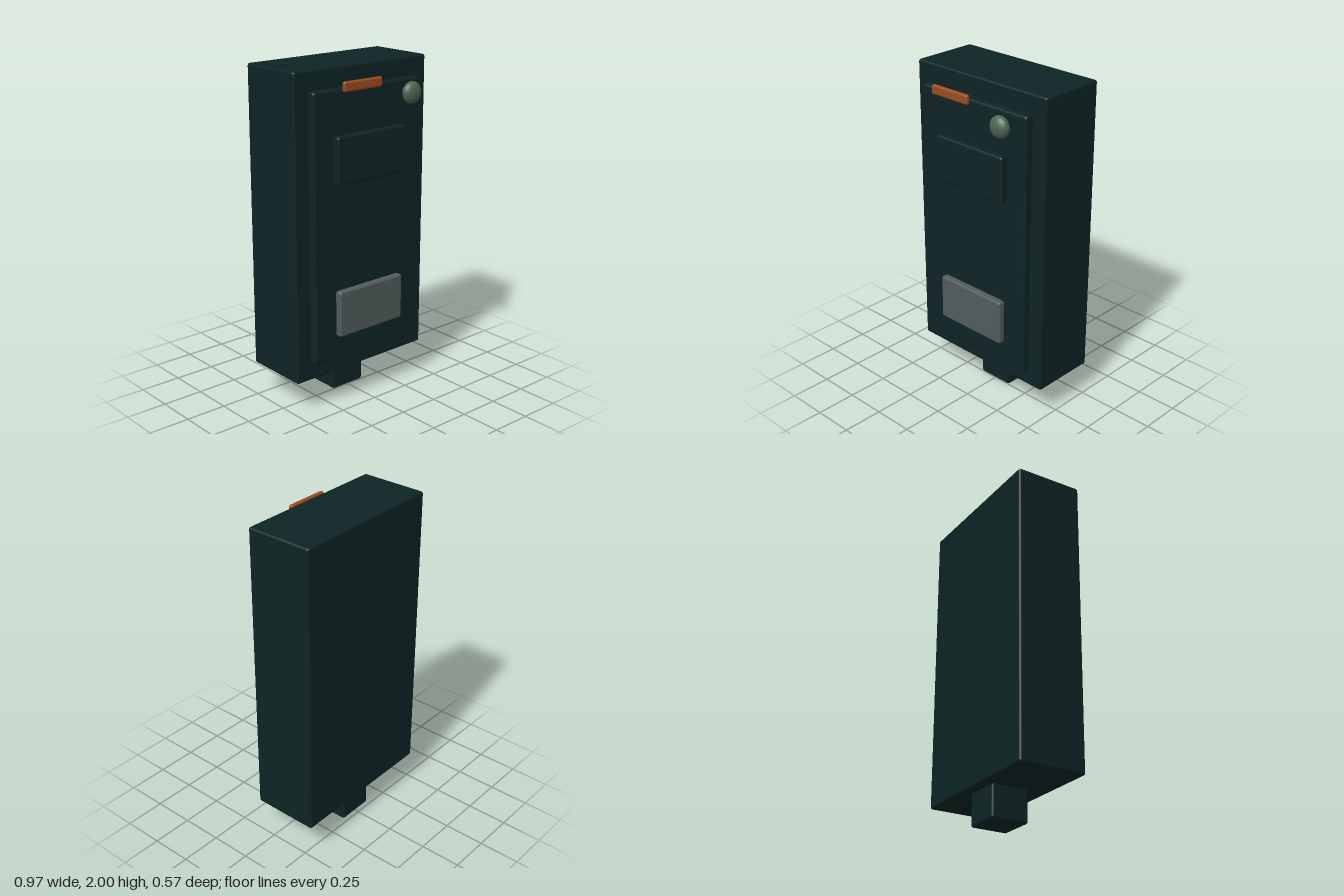
import * as THREE from 'three';
import { RoundedBoxGeometry } from 'three/addons/geometries/RoundedBoxGeometry.js';

const material = (name, color) => {
  const m = new THREE.MeshStandardMaterial({ color });
  m.name = name;
  return m;
};

export function createModel() {
  const group = new THREE.Group();
  const darkTeal = material('dark teal', 0x0e2425);
  const grey = material('plate grey', 0x515c5c);
  const orange = material('rust orange', 0x9c4c20);
  const green = material('muted green', 0x4c6652);

  // Rounded box given by its lower and upper corners
  const block = (name, mat, [x0, y0, z0], [x1, y1, z1], radius) => {
    const geometry = new RoundedBoxGeometry(x1 - x0, y1 - y0, z1 - z0, 3, radius);
    const mesh = new THREE.Mesh(geometry, mat);
    mesh.position.set((x0 + x1) / 2, (y0 + y1) / 2, (z0 + z1) / 2);
    mesh.name = name;
    group.add(mesh);
  };

  // Cabinet and its short mounting post
  block('cabinet', darkTeal, [-0.487, 0.192, -0.287], [0.487, 2, 0.128], 0.014);
  block('mountingPost', darkTeal, [-0.115, 0, -0.227], [0.115, 0.23, 0.003], 0.014);

  // Door with raised panels
  block('door', darkTeal, [-0.394, 0.305, 0.122], [0.394, 1.887, 0.18], 0.016);
  block('upperPanel', darkTeal, [-0.256, 1.353, 0.17], [0.256, 1.63, 0.222], 0.014);
  block('lowerPlate', grey, [-0.241, 0.447, 0.17], [0.241, 0.724, 0.22], 0.014);

  // Indicator bar above the door
  block('indicatorBar', orange, [-0.244, 1.88, 0.233], [0.034, 1.938, 0.259], 0.0125);

  // Flattened round knob
  const knob = new THREE.Mesh(new THREE.SphereGeometry(1, 32, 20), green);
  knob.scale.set(0.064, 0.064, 0.04);
  knob.position.set(0.267, 1.818, 0.247);
  knob.name = 'knob';
  group.add(knob);

  return group;
}
